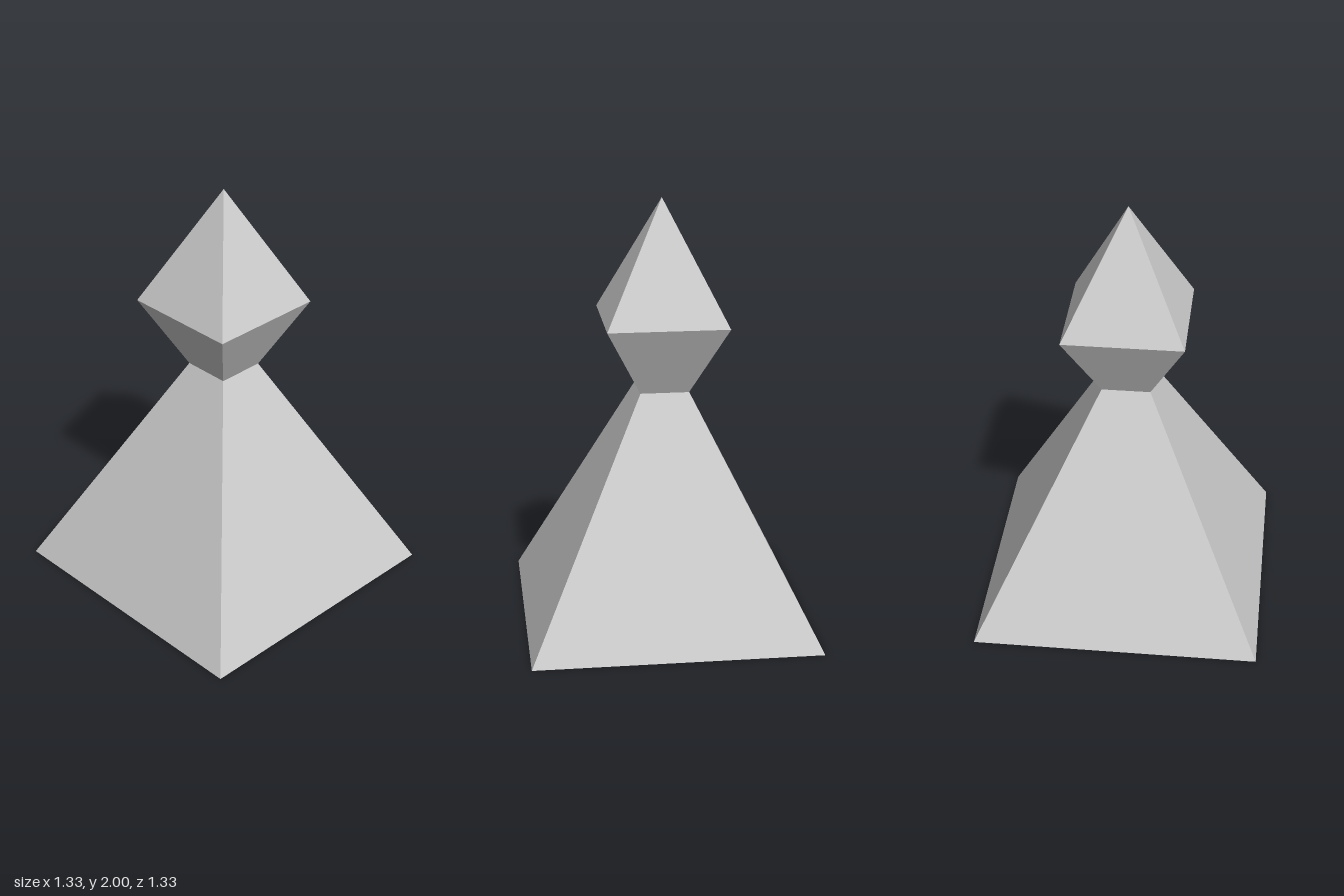
import * as THREE from 'three';

export function createModel() {
  const group = new THREE.Group();
  const material = new THREE.MeshStandardMaterial({ color: 0xcccccc, flatShading: true });

  // Square tapered block, given by its half widths and heights
  function squareTaper(name, bottomHalf, topHalf, y0, y1, open) {
    const geometry = new THREE.CylinderGeometry(
      topHalf * Math.SQRT2, bottomHalf * Math.SQRT2, y1 - y0, 4, 1, open, Math.PI / 4);
    const mesh = new THREE.Mesh(geometry, material);
    mesh.name = name;
    mesh.position.y = (y0 + y1) / 2;
    group.add(mesh);
  }

  const baseHalf = 0.667, neckHalf = 0.1135, headHalf = 0.28;
  const neckY = 1.107, headY = 1.44;

  // Body: pyramid cut off at the neck, closed underneath
  squareTaper('body', baseHalf, neckHalf, 0, neckY, false);
  // Head: flares out from the neck, then rises to a point
  squareTaper('headLower', neckHalf, headHalf, neckY, headY, true);
  squareTaper('headUpper', headHalf, 0, headY, 2, true);

  return group;
}
